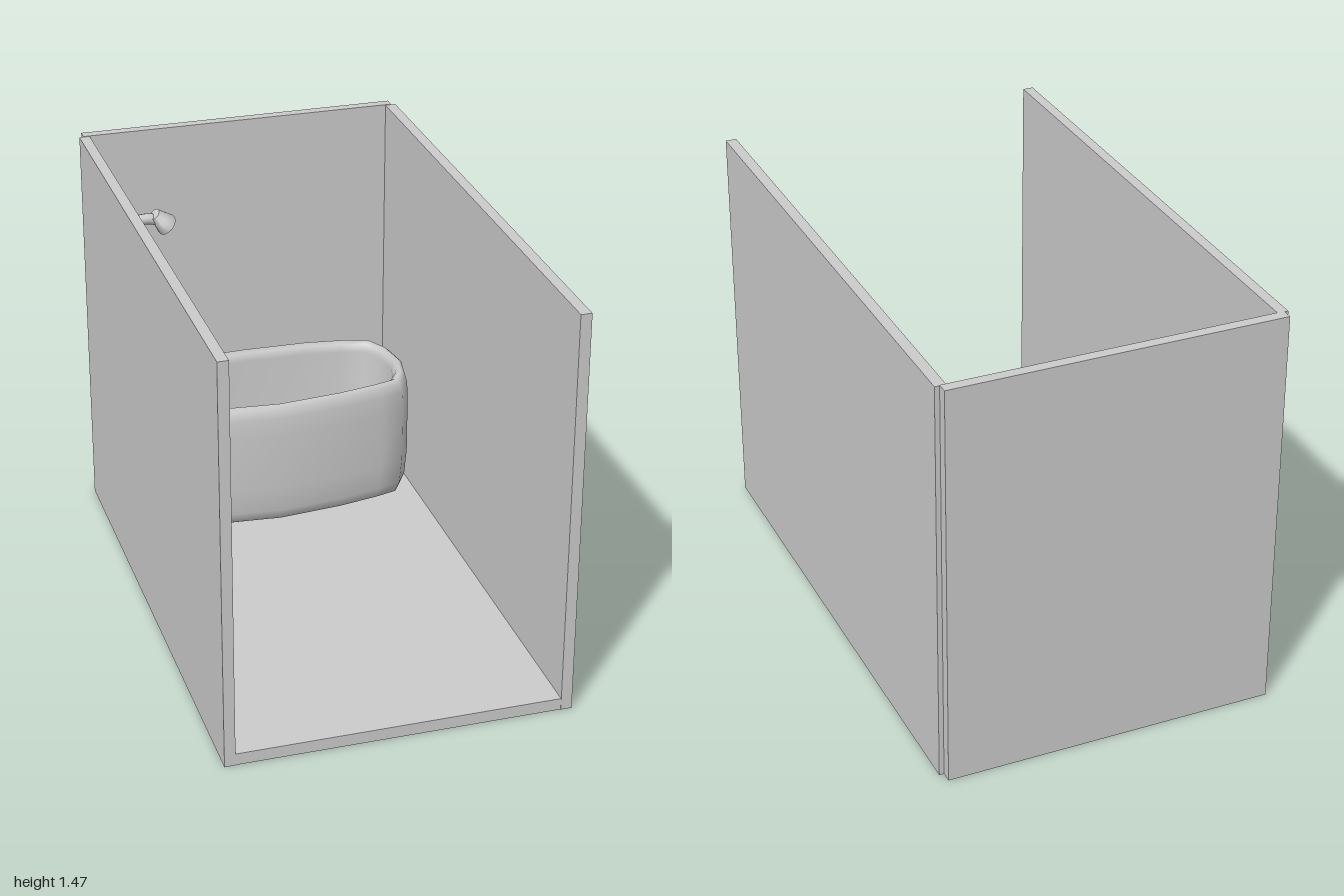
import * as THREE from 'three';
import { toCreasedNormals } from 'three/addons/utils/BufferGeometryUtils.js';

const material = new THREE.MeshStandardMaterial({ color: 0xcccccc });
const FIXTURE_Z = -0.68; // all fittings sit on the tub's centre line
const WALL_X = -0.57;    // inner face of the plumbing wall

function part(name, geometry) {
  const mesh = new THREE.Mesh(geometry, material);
  mesh.name = name;
  return mesh;
}

// Box given by its lowest and highest corner
function panel(name, [x0, y0, z0], [x1, y1, z1]) {
  const g = new THREE.BoxGeometry(x1 - x0, y1 - y0, z1 - z0);
  g.translate((x0 + x1) / 2, (y0 + y1) / 2, (z0 + z1) / 2);
  return part(name, g);
}

// Side profile in x/y, extruded along z with rounded edges
function profile(name, points, width, bevel) {
  const curve = new THREE.Shape(points.map(([x, y]) => new THREE.Vector2(x, y)));
  const g = new THREE.ExtrudeGeometry(curve, {
    depth: width - 2 * bevel, bevelThickness: bevel, bevelSize: bevel,
    bevelOffset: -bevel, bevelSegments: 4,
  });
  g.translate(0, 0, FIXTURE_Z - width / 2 + bevel);
  return part(name, toCreasedNormals(g, 0.8));
}

// Bathtub: one faceted oval outline swept through rings of [inset, height]
function bathtub() {
  const cz = -0.692;
  const half = [[0, 0.272], [0.25, 0.247], [0.41, 0.215], [0.5, 0.19], [0.545, 0.115], [0.567, 0],
    [0.55, -0.12], [0.505, -0.21], [0.41, -0.238], [0.25, -0.262], [0, -0.27]];
  const outline = [...half, ...half.slice(1, -1).reverse().map(([x, z]) => [-x, z])];
  const rings = [[0.27, 0.047], [0.045, 0.047], [0.022, 0.06], [0.008, 0.1], [0, 0.2], [0, 0.42],
    [0.003, 0.49], [0.012, 0.525], [0.028, 0.54], [0.045, 0.53], [0.053, 0.5],
    [0.062, 0.2], [0.075, 0.13], [0.11, 0.1], [0.27, 0.1]];
  const n = outline.length, pos = [], idx = [];
  rings.forEach(([inset, y], r) => {
    for (const [x, z] of outline) {
      const centre = r === 0 || r === rings.length - 1;
      const kx = centre ? 0 : 1 - inset / 0.567, kz = centre ? 0 : 1 - inset / 0.27;
      pos.push(x * kx, y, cz + z * kz);
    }
  });
  for (let r = 0; r < rings.length - 1; r++) {
    for (let j = 0; j < n; j++) {
      const a = r * n + j, b = r * n + (j + 1) % n;
      idx.push(a, b, b + n, a, b + n, a + n);
    }
  }
  const g = new THREE.BufferGeometry();
  g.setAttribute('position', new THREE.Float32BufferAttribute(pos, 3));
  g.setIndex(idx);
  g.computeVertexNormals();
  return part('bathtub', g);
}

// Shower arm with a flared, tilted head
function shower() {
  const group = new THREE.Group();
  group.name = 'shower';
  const path = new THREE.CatmullRomCurve3([[WALL_X - 0.01, 1.231], [-0.48, 1.236], [-0.42, 1.239], [-0.385, 1.228]]
    .map(([x, y]) => new THREE.Vector3(x, y, FIXTURE_Z)));
  group.add(part('showerArm', new THREE.TubeGeometry(path, 16, 0.02, 12)));

  const head = part('showerHead', toCreasedNormals(new THREE.LatheGeometry(
    [[0, 0], [0.04, 0], [0.04, 0.006], [0.03, 0.035], [0.021, 0.065], [0, 0.07]]
      .map(([r, y]) => new THREE.Vector2(r, y)), 20), 0.8));
  head.scale.z = 1.45;
  head.rotation.z = 0.76;
  head.position.set(-0.355, 1.208, FIXTURE_Z);
  group.add(head);
  return group;
}

// Mixer: domed wall plate, stem and hanging lever
function mixer() {
  const group = new THREE.Group();
  group.name = 'mixer';
  const plate = part('mixerPlate', new THREE.LatheGeometry(
    [[0.1, 0], [0.1, 0.006], [0.092, 0.013], [0.06, 0.018], [0, 0.02]]
      .map(([r, y]) => new THREE.Vector2(r, y)), 32));
  plate.rotation.z = -Math.PI / 2;
  plate.scale.z = 1.48;
  plate.position.set(WALL_X, 0.865, FIXTURE_Z);

  const stem = part('mixerStem', new THREE.LatheGeometry(
    [[0.045, 0], [0.028, 0.015], [0.021, 0.035], [0.023, 0.06]]
      .map(([r, y]) => new THREE.Vector2(r, y)), 20));
  stem.rotation.z = -Math.PI / 2;
  stem.position.set(WALL_X + 0.014, 0.862, FIXTURE_Z);

  const lever = profile('mixerLever', [[-0.535, 0.887], [-0.47, 0.887], [-0.466, 0.86], [-0.467, 0.79],
    [-0.475, 0.767], [-0.488, 0.765], [-0.5, 0.785], [-0.513, 0.825], [-0.535, 0.845]], 0.1, 0.008);
  // Taper the lever towards its lower end
  const p = lever.geometry.attributes.position;
  for (let i = 0; i < p.count; i++) {
    const t = THREE.MathUtils.clamp((p.getY(i) - 0.765) / 0.122, 0, 1);
    p.setZ(i, FIXTURE_Z + (p.getZ(i) - FIXTURE_Z) * (0.4 + 0.6 * t));
  }
  lever.geometry = toCreasedNormals(lever.geometry, 0.8);
  group.add(plate, stem, lever);
  return group;
}

// Tub spout with a diverter pin on top
function spout() {
  const group = new THREE.Group();
  group.name = 'spout';
  group.add(profile('spoutBody', [[WALL_X - 0.005, 0.597], [-0.465, 0.595], [-0.448, 0.588], [-0.441, 0.566],
    [-0.396, 0.566], [-0.394, 0.625], [-0.4, 0.645], [-0.418, 0.654], [WALL_X - 0.005, 0.655]], 0.065, 0.014));
  const pin = part('diverterPin', new THREE.CylinderGeometry(0.003, 0.003, 0.04, 8));
  pin.position.set(-0.421, 0.666, FIXTURE_Z);
  const knob = part('diverterKnob', new THREE.SphereGeometry(0.006, 10, 8));
  knob.position.set(-0.421, 0.685, FIXTURE_Z);
  group.add(pin, knob);
  return group;
}

export function createModel() {
  const model = new THREE.Group();
  model.name = 'bathAlcove';
  // Room shell, open at the front and top
  model.add(
    panel('floor', [-0.58, 0, -0.965], [0.58, 0.043, 0.998]),
    panel('rightWall', [-0.608, 0, -0.962], [WALL_X, 1.47, 1]),
    panel('leftWall', [0.568, 0, -0.962], [0.607, 1.47, 1]),
    panel('backWall', [-0.593, 0, -1], [0.59, 1.472, -0.961]),
  );
  model.add(bathtub(), shower(), mixer(), spout());
  return model;
}
